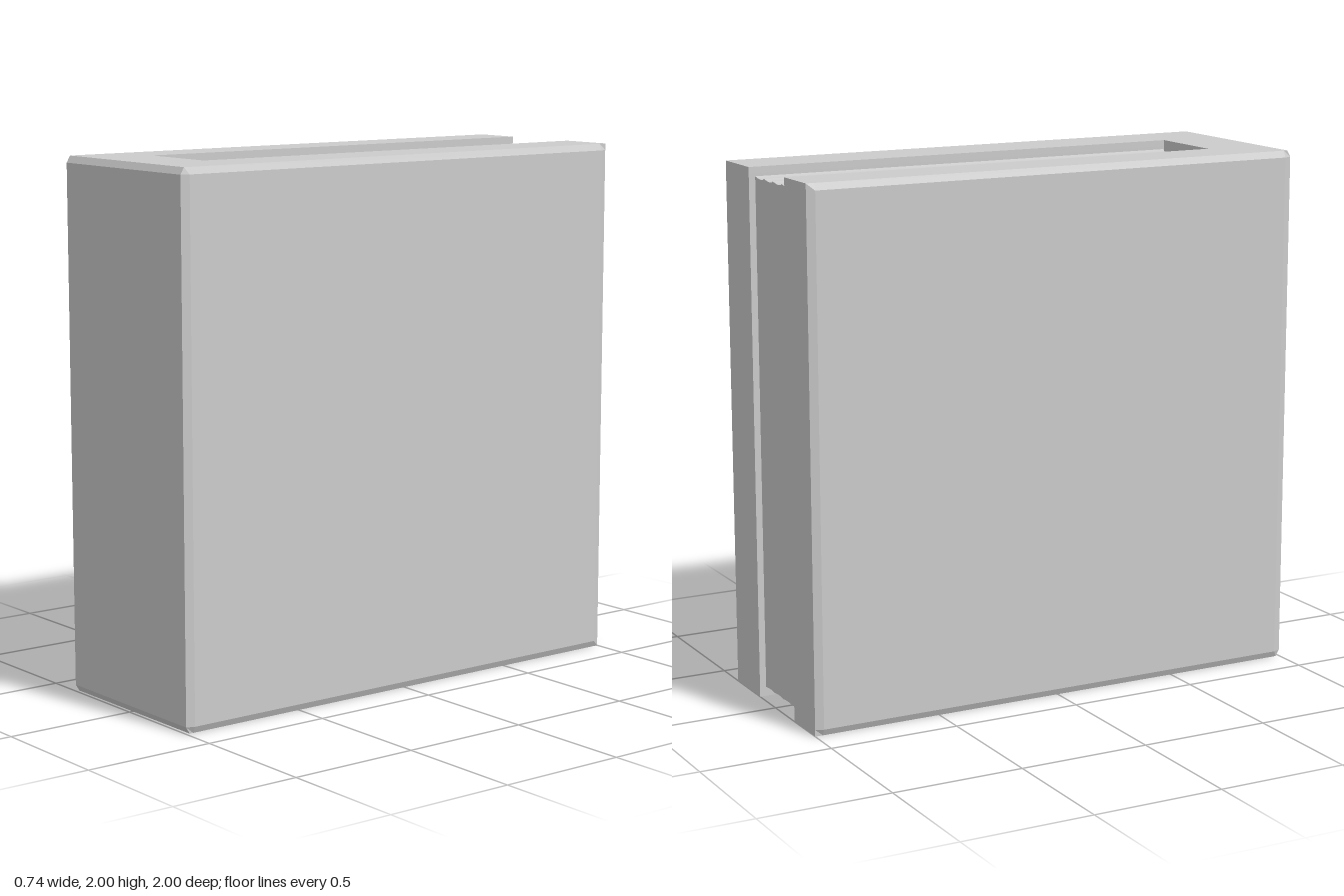
import * as THREE from 'three';

const material = () => new THREE.MeshStandardMaterial({ color: 0xcccccc });

// U-shaped slipcase: plan outline extruded upward, outer rim chamfered
function slipcase() {
  const outline = [
    [-0.36, 1], [0.36, 1], [0.372, 0.97], [0.372, -0.97], [0.36, -1], [0.145, -1],
    [0.145, 0.75], [-0.175, 0.75], [-0.175, -1], [-0.36, -1], [-0.372, -0.97], [-0.372, 0.97],
  ];
  const shape = new THREE.Shape(outline.map(([x, z]) => new THREE.Vector2(x, -z)));
  const geo = new THREE.ExtrudeGeometry(shape, { depth: 3, steps: 3, bevelEnabled: false });
  geo.rotateX(-Math.PI / 2);
  const heights = [0, 0.025, 1.975, 2];
  const p = geo.attributes.position;
  for (let i = 0; i < p.count; i++) {
    const ring = Math.round(p.getY(i));
    p.setY(i, heights[ring]);
    if (ring === 0 || ring === 3) {
      p.setX(i, THREE.MathUtils.clamp(p.getX(i), -0.36, 0.36));
      if (p.getZ(i) > 0.99) p.setZ(i, 0.985);
    }
  }
  geo.computeVertexNormals();
  const mesh = new THREE.Mesh(geo, material());
  mesh.name = 'slipcase';
  return mesh;
}

// One volume: a block whose top, fore edge and back are gently hollowed across its width
function book(width) {
  const y0 = 0.035, y1 = 1.965, z0 = -0.975, z1 = 0.748;
  const geo = new THREE.BoxGeometry(width, y1 - y0, z1 - z0, 10, 1, 1);
  geo.translate(0, (y0 + y1) / 2, (z0 + z1) / 2);
  const p = geo.attributes.position;
  for (let i = 0; i < p.count; i++) {
    const u = p.getX(i) / (width / 2);
    const hollow = 1 - u * u;
    if (p.getY(i) > 1) p.setY(i, y1 - 0.008 * hollow);
    p.setZ(i, p.getZ(i) > 0 ? z1 - 0.01 * hollow : z0 + 0.004 * hollow);
  }
  geo.computeVertexNormals();
  return new THREE.Mesh(geo, material());
}

export function createModel() {
  const model = new THREE.Group();
  model.name = 'boxedBookSet';
  model.add(slipcase());

  // Four volumes filling the slot
  const count = 4, left = -0.175, width = 0.32 / count;
  const books = new THREE.Group();
  books.name = 'books';
  for (let i = 0; i < count; i++) {
    const volume = book(width);
    volume.name = `book${i + 1}`;
    volume.position.x = left + width * (i + 0.5);
    books.add(volume);
  }
  model.add(books);
  return model;
}
